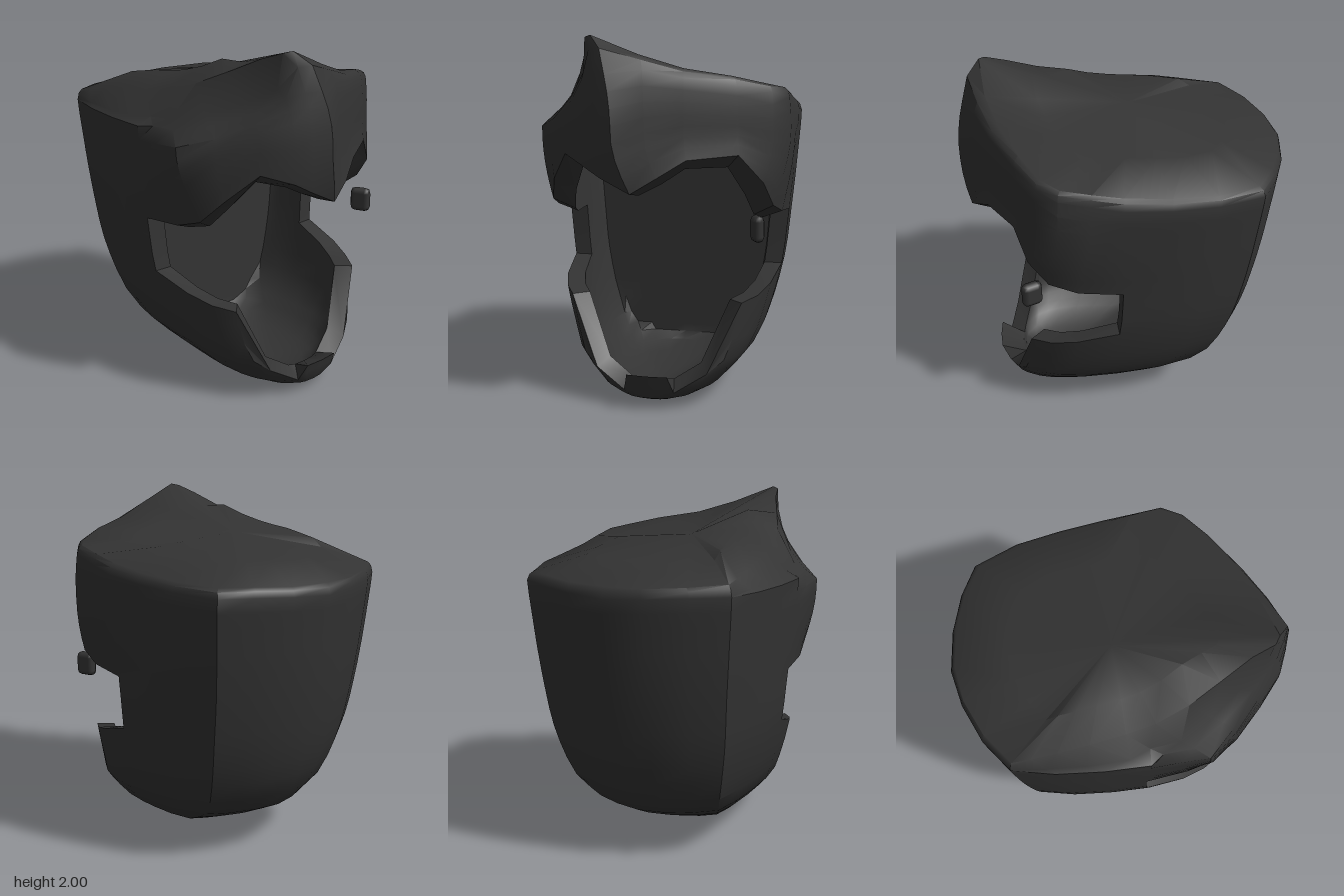
import * as THREE from 'three';
import { toCreasedNormals } from 'three/addons/utils/BufferGeometryUtils.js';
import { RoundedBoxGeometry } from 'three/addons/geometries/RoundedBoxGeometry.js';

// Cross-sections by height: y, half width, back z, widest z, front z
const RINGS = [
  [0, 0, 0.4, 0.4, 0.4], [0.02, 0.14, 0.15, 0.38, 0.6], [0.05, 0.23, 0, 0.33, 0.71],
  [0.1, 0.335, -0.2, 0.3, 0.74], [0.25, 0.485, -0.54, 0.22, 0.79], [0.38, 0.545, -0.65, 0.13, 0.77],
  [0.54, 0.595, -0.73, 0.1, 0.76], [0.75, 0.64, -0.79, 0.06, 0.78], [1, 0.665, -0.84, 0.05, 0.8],
  [1.2, 0.685, -0.87, 0.05, 0.84], [1.55, 0.715, -0.91, 0.05, 0.91],
];
const LOW_LEVELS = [0, 0.015, 0.035, 0.06, 0.1, 0.15, 0.2, 0.27, 0.38, 0.5, 0.6, 0.71];
const WALL_Z = -0.18;
const TOP = [-0.1, 1.785, -0.05];

// Back columns: angle from the back, rim height, crest point, share of half width, share of back depth
const BACK = [
  [-90, 1.56, [-0.585, 1.7, -0.25], -1, 0], [-75, 1.56, [-0.59, 1.67, -0.42], -0.98, 0.26],
  [-60, 1.565, [-0.59, 1.645, -0.56], -0.935, 0.52], [-45, 1.57, [-0.585, 1.63, -0.66], -0.85, 0.755],
  [-30, 1.57, [-0.41, 1.62, -0.78], -0.6, 0.88], [-15, 1.56, [-0.2, 1.61, -0.86], -0.29, 0.965],
  [0, 1.55, [0, 1.61, -0.88], 0, 1], [15, 1.56, [0.22, 1.61, -0.845], 0.31, 0.96],
  [30, 1.57, [0.41, 1.62, -0.77], 0.6, 0.88], [45, 1.57, [0.56, 1.62, -0.67], 0.825, 0.78],
  [60, 1.58, [0.645, 1.63, -0.44], 0.94, 0.52], [75, 1.59, [0.67, 1.645, -0.2], 0.985, 0.26],
  [90, 1.61, [0.68, 1.67, 0.05], 1, 0],
];

// Front columns: angle, rim height, crest point, upper outline x and z, fringe height, jaw height
const FRONT = [
  [105, 1.64, [0.68, 1.7, 0.21], 0.714, 0.22, 1.05, 0.64],
  [118, 1.68, [0.67, 1.73, 0.37], 0.71, 0.39, 1.1, 0.6],
  [131, 1.71, [0.59, 1.75, 0.47], 0.63, 0.5, 1.23, 0.58],
  [139, 1.74, [0.42, 1.79, 0.57], 0.46, 0.61, 1.38, 0.2],
  [160, 1.78, [0.18, 1.83, 0.67], 0.2, 0.75, 1.36, 0.1],
  [169, 1.82, [-0.04, 1.9, 0.74], 0.01, 0.83, 1.27, 0.2],
  [180, 1.8, [-0.29, 2, 0.77], -0.14, 0.92, 1.19, 0.2],
  [191, 1.8, [-0.33, 1.99, 0.74], -0.24, 0.88, 1.27, 0.2],
  [200, 1.77, [-0.36, 1.95, 0.62], -0.33, 0.84, 1.33, 0.1],
  [221, 1.68, [-0.43, 1.87, 0.45], -0.45, 0.72, 1.38, 0.2],
  [229, 1.61, [-0.5, 1.795, 0.28], -0.6, 0.54, 1.23, 0.58],
  [242, 1.575, [-0.55, 1.745, 0.1], -0.72, 0.37, 1.1, 0.6],
  [255, 1.565, [-0.57, 1.72, -0.06], -0.71, 0.2, 1.05, 0.64],
];

const lerp = THREE.MathUtils.lerp;
const mix = (a, b, t) => a.map((v, k) => lerp(v, b[k], t));
const soft = (v, p) => Math.sign(v) * Math.abs(v) ** p;
const samples = (y0, y1, n, f) => Array.from({ length: n + 1 }, (_, i) => f(lerp(y0, y1, i / n)));

function ringAt(y) {
  const c = Math.min(y, 1.5499);
  const i = RINGS.findIndex((r) => r[0] > c);
  const a = RINGS[i - 1], b = RINGS[i];
  return mix(a, b, (c - a[0]) / (b[0] - a[0]));
}

// Profile lines of one column from its outer wall function
function makeColumn(deg, rim, crest, outer, fringe, jaw) {
  const inner = (y) => {
    const [x, , z] = outer(y);
    return [x * 0.84, y + 0.06 * Math.max(0, 1 - y / 0.5), Math.max(0.1 + (z - 0.1) * 0.84, WALL_Z)];
  };
  const innerJaw = Math.abs(deg - 180) < 15 ? 0.09 : jaw;
  const innerFringe = fringe - 0.02 - 0.05 * Math.abs(Math.sin(THREE.MathUtils.degToRad(2 * deg)));
  // A ledge under the crest on the swept side, a rounded edge elsewhere
  const swept = deg > 195 || deg < -50;
  const bevel = mix(outer(rim), crest, 0.35);
  bevel[1] = lerp(rim, crest[1], swept ? 0.22 : 0.65);
  // The crown swells gently inside the crest
  const crown = mix(crest, TOP, 0.35);
  crown[1] += deg > 205 || deg < -50 ? 0.06 : deg < 100 ? 0.025 : 0;
  const low = (top, f) => LOW_LEVELS.map((l, i) => f(i === LOW_LEVELS.length - 1 ? top : Math.min(l, top)));
  return {
    low: low(jaw, outer),
    mid: samples(jaw, fringe, 3, outer),
    high: [...samples(fringe, rim, 7, outer), bevel, crest, crown, TOP],
    inLow: low(innerJaw, inner),
    inMid: samples(innerJaw, innerFringe, 3, inner),
    inHigh: [...samples(innerFringe, 1.47, 3, inner), [0, 1.5, 0]],
  };
}

function backColumn([deg, rim, crest, fx, fz]) {
  const outer = (y) => {
    const [, w, back, mid] = ringAt(y);
    return [w * fx, y, lerp(mid, back, fz)];
  };
  return makeColumn(deg, rim, crest, outer, 1.03, 0.71);
}

function frontColumn([deg, rim, crest, x1, z1, fringe, jaw]) {
  const t = THREE.MathUtils.degToRad(deg);
  const outer = (y) => {
    const [, w, , mid, front] = ringAt(y);
    const blend = THREE.MathUtils.smoothstep(y, 0.95, 1.5);
    const lean = 0.3 * Math.max(0, (y - 1.5) / (rim - 1.5)) ** 2;
    const x = lerp(w * soft(Math.sin(t), 0.82), x1, blend);
    const z = lerp(mid - (front - mid) * soft(Math.cos(t), 0.82), z1, blend);
    return [lerp(x, crest[0], lean), y, lerp(z, crest[2], lean)];
  };
  return makeColumn(deg, rim, crest, outer, fringe, jaw);
}

// Collects triangles and joins neighbouring profiles
function surface() {
  const pos = [];
  const tri = (a, b, c) => {
    const [p, q, r] = [a, b, c].map((v) => new THREE.Vector3(...v));
    if (q.sub(p).cross(r.sub(p)).length() > 1e-8) pos.push(...a, ...b, ...c);
  };
  return {
    strip(a, b) {
      for (let i = 0; i < a.length - 1; i++) {
        tri(b[i], a[i], a[i + 1]);
        tri(b[i], a[i + 1], b[i + 1]);
      }
    },
    build() {
      const g = new THREE.BufferGeometry();
      g.setAttribute('position', new THREE.Float32BufferAttribute(pos, 3));
      return toCreasedNormals(g, THREE.MathUtils.degToRad(35));
    },
  };
}

export function createModel() {
  const group = new THREE.Group();
  group.name = 'hoodedHair';
  const charcoal = new THREE.MeshStandardMaterial({ color: 0x333333 });
  charcoal.name = 'charcoal';
  const add = (name, geometry) => {
    const mesh = new THREE.Mesh(geometry, charcoal);
    mesh.name = name;
    group.add(mesh);
    return mesh;
  };

  const back = BACK.map(backColumn);
  const first = back[0], last = back[back.length - 1];
  const front = [last, ...FRONT.map(frontColumn), first];
  const shell = surface();

  // Back of the shell, then the flat wall and floor inside it
  const outside = (c) => [...c.low, ...c.mid, ...c.high];
  const inside = (c) => [...c.inLow, ...c.inMid, ...c.inHigh].reverse();
  for (let i = 0; i < back.length - 1; i++) {
    shell.strip(outside(back[i]), outside(back[i + 1]));
    shell.strip(inside(back[i]), inside(back[i + 1]));
  }

  // Fringe and jaw band, each wrapping over its thick edge
  const fringe = (c) => [...[...c.inHigh].reverse(), ...c.high];
  const jaw = (c) => [...c.low, ...[...c.inLow].reverse()];
  for (let i = 0; i < front.length - 1; i++) {
    shell.strip(fringe(front[i]), fringe(front[i + 1]));
    shell.strip(jaw(front[i]), jaw(front[i + 1]));
  }

  // Upright edges beside the face opening
  shell.strip(last.mid, last.inMid);
  shell.strip(first.inMid, first.mid);
  add('hairAndJawShell', shell.build());

  // Small loose stud
  const stud = add('stud', new RoundedBoxGeometry(0.065, 0.145, 0.12, 1, 0.032));
  stud.position.set(0.555, 0.985, 0.545);
  stud.rotation.y = 0.4;

  return group;
}
